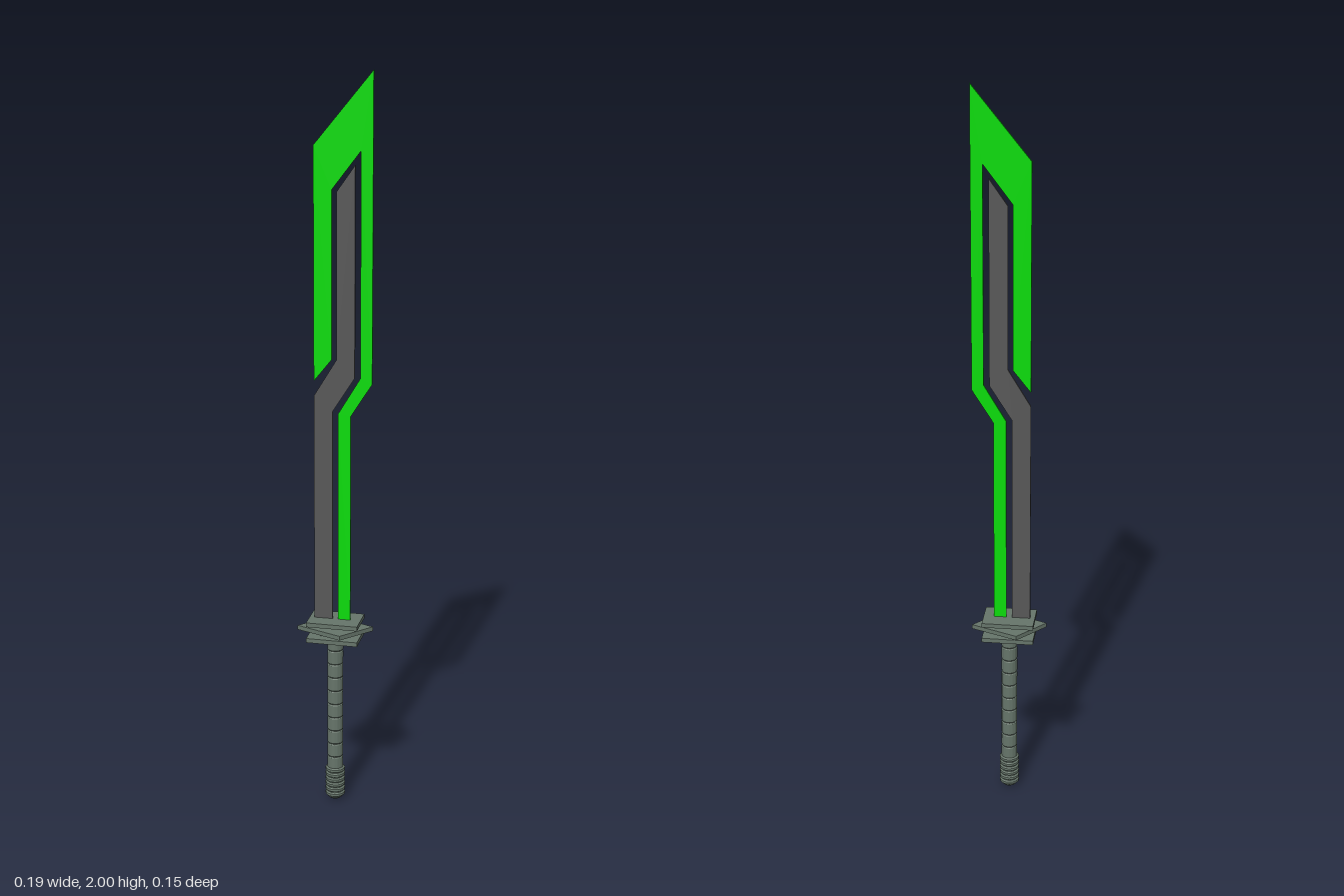
import * as THREE from 'three';

const BLADE_ANGLE = -Math.PI / 6;
const C = Math.cos(BLADE_ANGLE);
const mat = (color) => new THREE.MeshStandardMaterial({ color, flatShading: true });

// Extruded outline, centred on its thickness
function slab(points, depth) {
  const shape = new THREE.Shape(points.map(([x, y]) => new THREE.Vector2(x, y)));
  return new THREE.ExtrudeGeometry(shape, { depth, bevelEnabled: false }).translate(0, 0, -depth / 2);
}

export function createModel() {
  const root = new THREE.Group();
  root.name = 'sword';
  const green = mat(0x0adc0a), dark = mat(0x585858), metal = mat(0x66756a);

  const add = (name, geometry, material, parent = root) => {
    const mesh = new THREE.Mesh(geometry, material);
    mesh.name = name;
    parent.add(mesh);
    return mesh;
  };

  // Blade: two interlocking flat pieces with a thin gap between them
  const blade = new THREE.Group();
  blade.name = 'blade';
  blade.rotation.y = BLADE_ANGLE;
  root.add(blade);
  const widen = (pts) => pts.map(([x, y]) => [x / C, y]);
  add('bladeEdge', slab(widen([
    [0.007, 0.53], [0.036, 0.53], [0.036, 1.1], [0.085, 1.19], [0.085, 2.0],
    [-0.049, 1.807], [-0.049, 1.19], [-0.008, 1.25], [-0.008, 1.695],
    [0.058, 1.797], [0.058, 1.204], [0.007, 1.105],
  ]), 0.006), green, blade);
  add('bladeCore', slab(widen([
    [-0.049, 0.53], [-0.006, 0.53], [-0.006, 1.11], [0.045, 1.204], [0.045, 1.76],
    [0.003, 1.69], [0.003, 1.25], [-0.049, 1.15],
  ]), 0.006), dark, blade);

  // Guard: two aligned plates with a skewed plate between them
  for (const [name, y] of [['upperGuardPlate', 0.524], ['lowerGuardPlate', 0.479]]) {
    const plate = add(name, new THREE.BoxGeometry(0.139, 0.012, 0.096), metal);
    plate.position.y = y;
    plate.rotation.y = BLADE_ANGLE;
  }
  const skewed = slab([[-0.095, 0.035], [-0.011, -0.072], [0.095, -0.035], [0.011, 0.072]], 0.012);
  add('middleGuardPlate', skewed.rotateX(-Math.PI / 2), metal).position.y = 0.502;
  const hub = add('guardHub', new THREE.BoxGeometry(0.07, 0.045, 0.045), metal);
  hub.position.y = 0.501;
  hub.rotation.y = BLADE_ANGLE;

  // Grip: shaft with shallow grooves
  const grip = [[0.0, 0.09]];
  const bands = 10, step = 0.39 / bands;
  for (let i = 0; i < bands; i++) {
    const y = 0.09 + i * step;
    grip.push([0.0195, y], [0.0215, y + 0.003], [0.0215, y + step - 0.003]);
  }
  grip.push([0.0195, 0.48], [0, 0.48]);
  const lathe = (pts) => new THREE.LatheGeometry(pts.map(([x, y]) => new THREE.Vector2(x, y)), 16);
  add('grip', lathe(grip), metal);

  // Pommel: stacked ridges over a rounded end
  const pommel = [[0, 0], [0.014, 0.002], [0.021, 0.008]];
  for (let i = 0; i < 6; i++) {
    const y = 0.011 + i * 0.0145;
    pommel.push([0.022, y], [0.0265, y + 0.003], [0.0265, y + 0.0095], [0.022, y + 0.0125]);
  }
  pommel.push([0, 0.1]);
  add('pommel', lathe(pommel), metal);

  return root;
}
